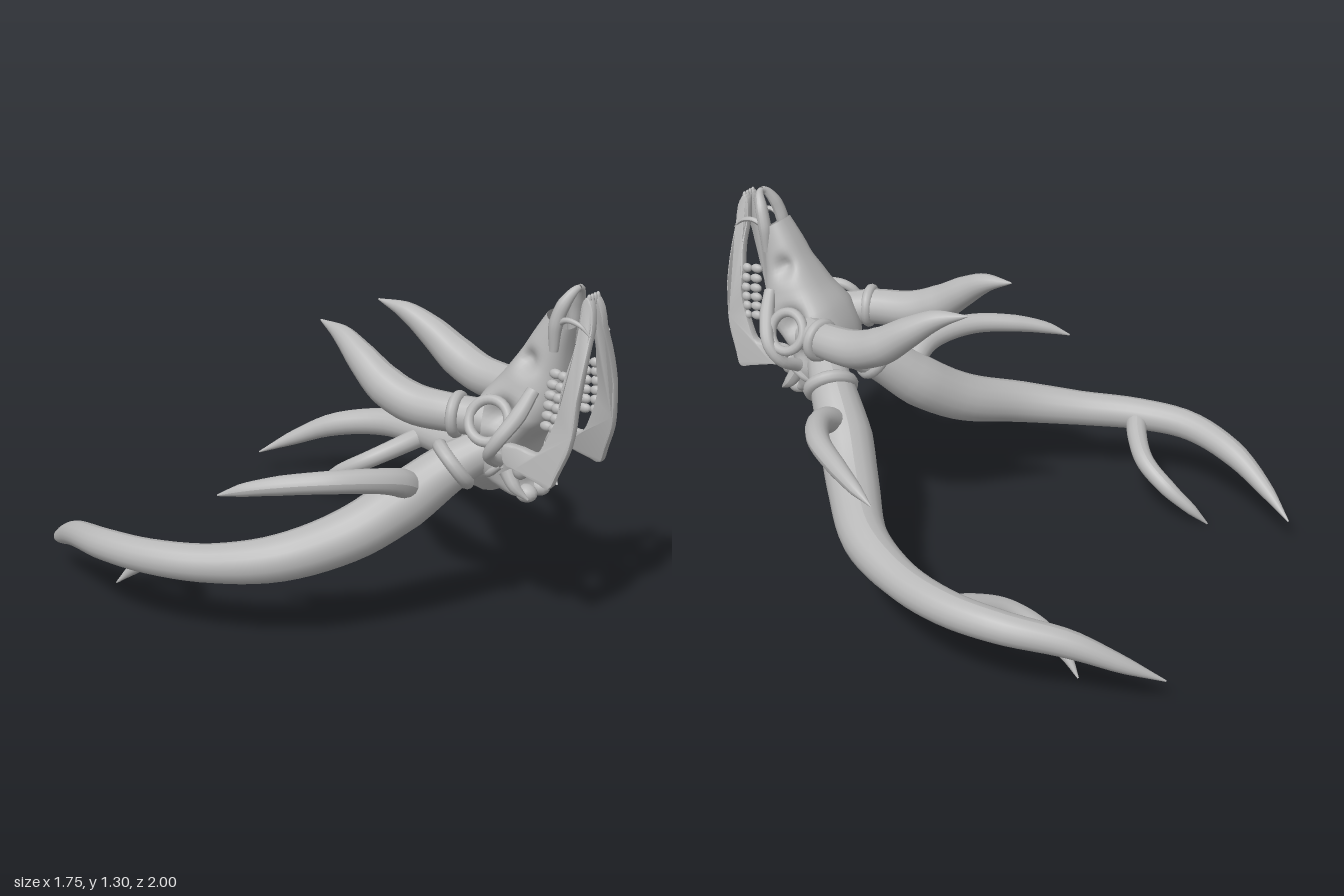
import * as THREE from 'three';
import { toCreasedNormals } from 'three/addons/utils/BufferGeometryUtils.js';

const bone = new THREE.MeshStandardMaterial({ color: 0xb8b8b8, side: THREE.DoubleSide });
bone.name = 'bone grey';

const V = (x, y, z) => new THREE.Vector3(x, y, z);

function add(parent, name, geometry) {
  const mesh = new THREE.Mesh(geometry, bone);
  mesh.name = name;
  parent.add(mesh);
  return mesh;
}

// Piecewise-linear lookup in a list at t in 0..1
function sample(list, t) {
  const f = t * (list.length - 1);
  const i = Math.min(Math.floor(f), list.length - 2);
  return THREE.MathUtils.lerp(list[i], list[i + 1], f - i);
}

// Tapered tube through rows of [x, y, z, radius]; s mirrors x
function taper(rows, s, steps = 28, sides = 16) {
  const curve = new THREE.CatmullRomCurve3(rows.map(r => V(s * r[0], r[1], r[2])));
  const radii = rows.map(r => r[3]);
  const geo = new THREE.TubeGeometry(curve, steps, 1, sides);
  const pos = geo.attributes.position;
  const v = V(0, 0, 0);
  for (let i = 0; i <= steps; i++) {
    const centre = curve.getPointAt(i / steps);
    const r = sample(radii, curve.getUtoTmapping(i / steps));
    for (let j = 0; j <= sides; j++) {
      const k = i * (sides + 1) + j;
      v.fromBufferAttribute(pos, k).sub(centre).multiplyScalar(r).add(centre);
      pos.setXYZ(k, v.x, v.y, v.z);
    }
  }
  geo.computeVertexNormals();
  return geo;
}

// Torus facing along a direction
function ring(parent, name, at, dir, radius, tube, squash = 1) {
  const m = add(parent, name, new THREE.TorusGeometry(radius, tube, 10, 28));
  m.position.copy(at);
  m.quaternion.setFromUnitVectors(V(0, 0, 1), dir.clone().normalize());
  m.scale.y = squash;
  return m;
}

function ball(parent, name, x, y, z, rx, ry, rz) {
  const m = add(parent, name, new THREE.SphereGeometry(1, 14, 10));
  m.position.set(x, y, z);
  m.scale.set(rx, ry, rz);
  return m;
}

// Skull stations from muzzle to occiput: dorsal y, z, ventral y, z, half width
const STATIONS = [
  [1.20, 0.81, 1.15, 0.895, 0.06],
  [1.14, 0.77, 1.07, 0.885, 0.075],
  [1.06, 0.72, 0.99, 0.88, 0.095],
  [0.97, 0.655, 0.91, 0.875, 0.125],
  [0.89, 0.59, 0.82, 0.84, 0.175],
  [0.80, 0.55, 0.73, 0.77, 0.17],
  [0.70, 0.54, 0.65, 0.75, 0.145],
  [0.61, 0.59, 0.58, 0.75, 0.115],
  [0.55, 0.67, 0.54, 0.775, 0.075],
  [0.535, 0.71, 0.53, 0.75, 0.01],
];

// Hollows pressed into each side: y, z, size, depth
const HOLLOWS = [[0.845, 0.71, 0.06, 0.5], [1.04, 0.775, 0.035, 0.4], [0.73, 0.68, 0.05, 0.25]];

function skullGeometry() {
  const rings = 54, sides = 44, points = [], index = [];
  const dorsal = new THREE.CatmullRomCurve3(STATIONS.map(s => V(0, s[0], s[1])));
  const ventral = new THREE.CatmullRomCurve3(STATIONS.map(s => V(0, s[2], s[3])));
  const widths = STATIONS.map(s => s[4]);
  for (let i = 0; i <= rings; i++) {
    const t = i / rings;
    const d = dorsal.getPoint(t), u = ventral.getPoint(t), w = sample(widths, t);
    for (let j = 0; j < sides; j++) {
      const a = j / sides * Math.PI * 2;
      const p = u.clone().lerp(d, 0.5 + 0.5 * Math.sin(a));
      let x = w * Math.sign(Math.cos(a)) * Math.pow(Math.abs(Math.cos(a)), 0.75);
      for (const [y, z, size, depth] of HOLLOWS) {
        const q = ((p.y - y) ** 2 + (p.z - z) ** 2) / size ** 2;
        x *= 1 - depth * Math.exp(-q);
      }
      points.push(x, p.y, p.z);
      if (i < rings) {
        const n = (j + 1) % sides, r = i * sides;
        index.push(r + j, r + sides + j, r + n, r + n, r + sides + j, r + sides + n);
      }
    }
  }
  const geo = new THREE.BufferGeometry();
  geo.setAttribute('position', new THREE.Float32BufferAttribute(points, 3));
  geo.setIndex(index);
  geo.computeVertexNormals();
  return geo;
}

// Sideways offset of the jaw at a given height
const jawX = y => sample([0.16, 0.14, 0.125, 0.115, 0.08, 0.035, 0.02], THREE.MathUtils.clamp((y - 0.64) / 0.64, 0, 1));

function jawGeometry(s) {
  const outline = [[0.965, 1.275], [0.99, 1.24], [1.0, 1.12], [1.0, 0.95], [0.99, 0.8], [0.955, 0.7], [0.93, 0.645],
    [0.88, 0.655], [0.8, 0.675], [0.745, 0.69], [0.735, 0.75], [0.8, 0.755], [0.865, 0.75], [0.9, 0.81],
    [0.93, 0.9], [0.935, 1.0], [0.948, 1.1], [0.945, 1.2], [0.95, 1.26]];
  const curve = new THREE.CatmullRomCurve3(outline.map(p => V(p[0], p[1], 0)), true);
  const shape = new THREE.Shape(curve.getPoints(70).slice(0, -1).map(p => new THREE.Vector2(p.x, p.y)));
  const geo = new THREE.ExtrudeGeometry(shape, {
    depth: 0.018, bevelEnabled: true, bevelSize: 0.006, bevelOffset: -0.006, bevelThickness: 0.007, bevelSegments: 2,
  });
  geo.translate(0, 0, -0.009).rotateY(-Math.PI / 2);
  const pos = geo.attributes.position;
  for (let i = 0; i < pos.count; i++) pos.setX(i, pos.getX(i) + s * jawX(pos.getY(i)));
  return toCreasedNormals(geo, 0.7);
}

export function createModel() {
  const model = new THREE.Group();
  model.name = 'hornedSkull';
  add(model, 'cranium', skullGeometry());

  for (const s of [1, -1]) {
    const side = new THREE.Group();
    side.name = s > 0 ? 'leftSide' : 'rightSide';
    model.add(side);

    // Main antler and its two tines
    add(side, 'antler', taper([
      [0.08, 0.69, 0.61, 0.07], [0.17, 0.62, 0.52, 0.085], [0.27, 0.51, 0.415, 0.1], [0.41, 0.405, 0.3, 0.094],
      [0.6, 0.335, 0.14, 0.082], [0.725, 0.30, -0.07, 0.068], [0.8, 0.292, -0.29, 0.062], [0.81, 0.285, -0.5, 0.057],
      [0.74, 0.245, -0.715, 0.048], [0.665, 0.17, -0.875, 0.03], [0.59, 0.1, -1.0, 0.003]], s, 44, 18));
    ring(side, 'antlerBurr', V(s * 0.16, 0.64, 0.54), V(s * 0.6, -0.6, -0.55), 0.078, 0.025);
    add(side, 'browTine', taper([
      [0.24, 0.54, 0.44, 0.05], [0.33, 0.6, 0.45, 0.05], [0.42, 0.63, 0.43, 0.044], [0.56, 0.647, 0.34, 0.04],
      [0.67, 0.635, 0.2, 0.034], [0.735, 0.612, 0.09, 0.023], [0.77, 0.585, 0.01, 0.003]], s));
    add(side, 'rearTine', taper([
      [0.79, 0.285, -0.28, 0.042], [0.68, 0.25, -0.335, 0.038], [0.59, 0.205, -0.41, 0.035],
      [0.55, 0.14, -0.52, 0.032], [0.56, 0.065, -0.62, 0.021], [0.585, 0.005, -0.68, 0.003]], s));

    // Upper horn
    add(side, 'horn', taper([
      [0.13, 0.82, 0.64, 0.065], [0.175, 0.83, 0.55, 0.066], [0.2, 0.838, 0.4, 0.071], [0.21, 0.88, 0.29, 0.07],
      [0.203, 0.955, 0.18, 0.055], [0.185, 1.015, 0.08, 0.036], [0.165, 1.045, -0.035, 0.003]], s));
    ring(side, 'hornBurr', V(s * 0.177, 0.83, 0.565), V(s * 0.25, 0, -1), 0.062, 0.02);

    // Eye socket rim and cheek arch
    ring(side, 'eyeSocketRim', V(s * 0.19, 0.84, 0.7), V(s * 0.85, 0.4, 0.1), 0.072, 0.018);
    add(side, 'cheekArch', taper([
      [0.11, 0.95, 0.82, 0.022], [0.17, 0.87, 0.8, 0.028], [0.225, 0.79, 0.76, 0.024],
      [0.215, 0.73, 0.72, 0.02], [0.13, 0.68, 0.7, 0.025]], s, 20, 12));

    // Muzzle prong with its thin curved tusk
    add(side, 'muzzleProng', taper([
      [0.058, 1.08, 0.86, 0.016], [0.058, 1.17, 0.865, 0.024], [0.045, 1.24, 0.885, 0.023],
      [0.018, 1.285, 0.908, 0.014], [0, 1.292, 0.912, 0.01]], s, 20, 12));
    add(side, 'tusk', taper([
      [0.055, 1.17, 0.865, 0.012], [0.063, 1.195, 0.91, 0.01], [0.062, 1.185, 0.96, 0.008],
      [0.058, 1.15, 1.0, 0.002]], s, 14, 8));

    // Lower jaw, cheek teeth and front teeth
    add(side, 'jaw', jawGeometry(s));
    for (let i = 0; i < 6; i++) {
      const y = 0.84 + i * 0.035;
      ball(side, 'lowerTooth', s * jawX(y), y, 0.916 + i * 0.002, 0.014, 0.017, 0.02);
      ball(side, 'upperTooth', s * (jawX(y) - 0.01), y, 0.88 + i * 0.002, 0.015, 0.017, 0.024);
    }
    for (const x of [0.009, 0.027]) ball(side, 'frontTooth', s * x, 1.262, 0.968, 0.009, 0.022, 0.009);

    // Skull base: ear capsules, condyles and pointed processes
    ball(side, 'earCapsule', s * 0.085, 0.655, 0.765, 0.035, 0.04, 0.03);
    ball(side, 'condyle', s * 0.04, 0.55, 0.76, 0.035, 0.032, 0.04);
    add(side, 'baseProcess', taper([
      [0.1, 0.64, 0.72, 0.03], [0.105, 0.59, 0.755, 0.022], [0.09, 0.55, 0.8, 0.004]], s, 10, 10));
    add(side, 'occipitalRidge', taper([
      [0, 0.59, 0.6, 0.014], [0.07, 0.6, 0.62, 0.016], [0.125, 0.63, 0.67, 0.014], [0.14, 0.67, 0.72, 0.01]], s, 14, 8));
  }
  return model;
}
